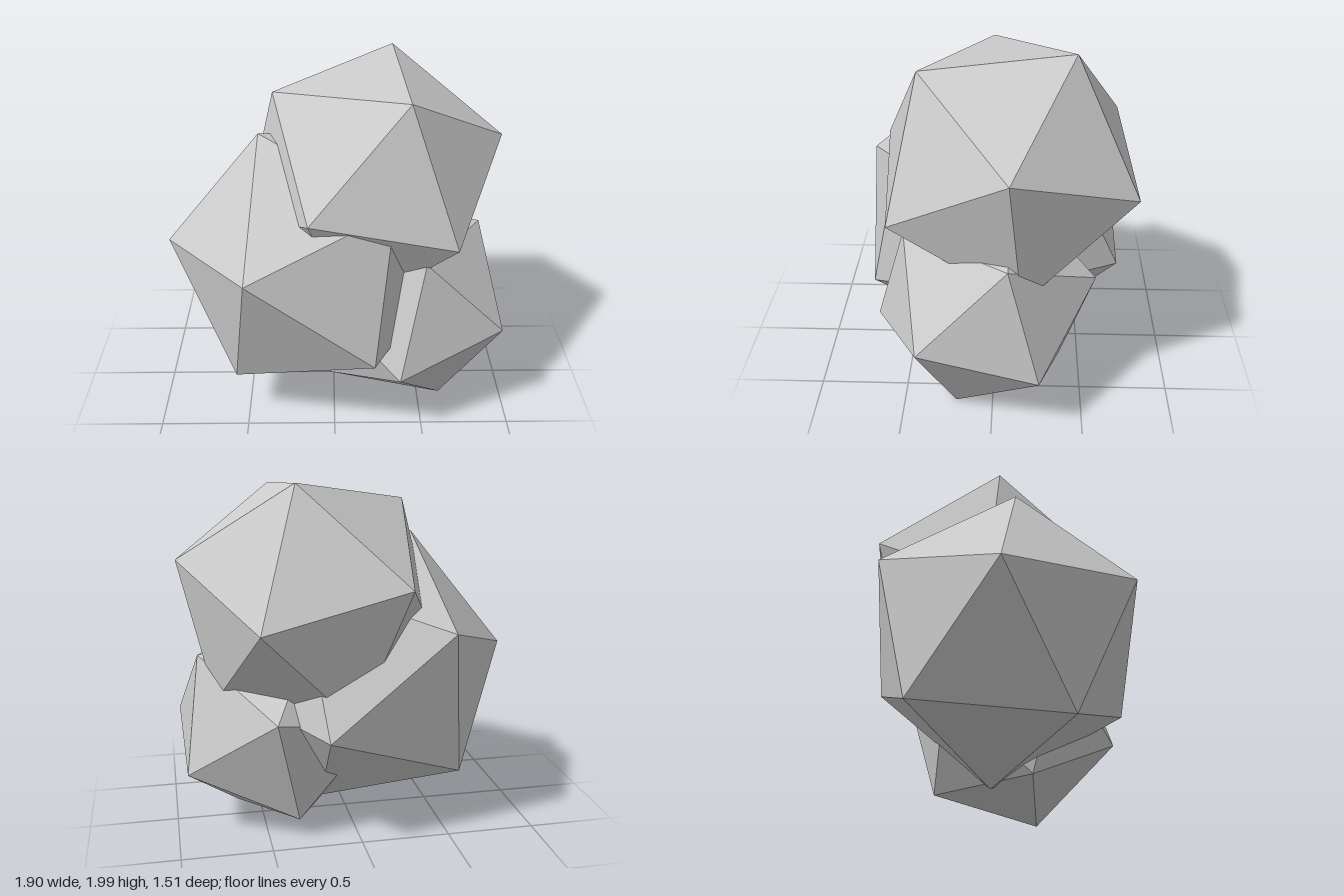
import * as THREE from 'three';

const material = new THREE.MeshStandardMaterial({ color: 0xcccccc, flatShading: true });
const v = (a) => new THREE.Vector3(...a);

// A regular icosahedron, turned so that one of its edges runs from p to q.
function boulder(name, radius, centre, p, q) {
  const mesh = new THREE.Mesh(new THREE.IcosahedronGeometry(radius, 0), material);
  const c = v(centre);
  const x = v(q).sub(v(p)).normalize();
  const y = v(p).add(v(q)).multiplyScalar(0.5).sub(c);
  const z = x.clone().cross(y).normalize();
  y.copy(z).cross(x);
  mesh.quaternion.setFromRotationMatrix(new THREE.Matrix4().makeBasis(x, y, z));
  mesh.position.copy(c);
  mesh.name = name;
  return mesh;
}

export function createModel() {
  const group = new THREE.Group();
  group.name = 'boulderCluster';
  group.add(
    // upper boulder resting on the other two
    boulder('topBoulder', 0.772, [0.215, 1.32, -0.07], [0.34, 2.0, -0.42], [0.39, 1.92, 0.39]),
    // largest boulder
    boulder('rightBoulder', 0.828, [-0.127, 0.884, 0.03], [-0.95, 0.98, 0.04], [-0.41, 1.66, 0.11]),
    // smallest boulder, touching the ground
    boulder('leftBoulder', 0.637, [0.413, 0.588, 0.05], [0.95, 0.57, 0.39], [0.36, 0.42, 0.66]),
  );
  return group;
}
